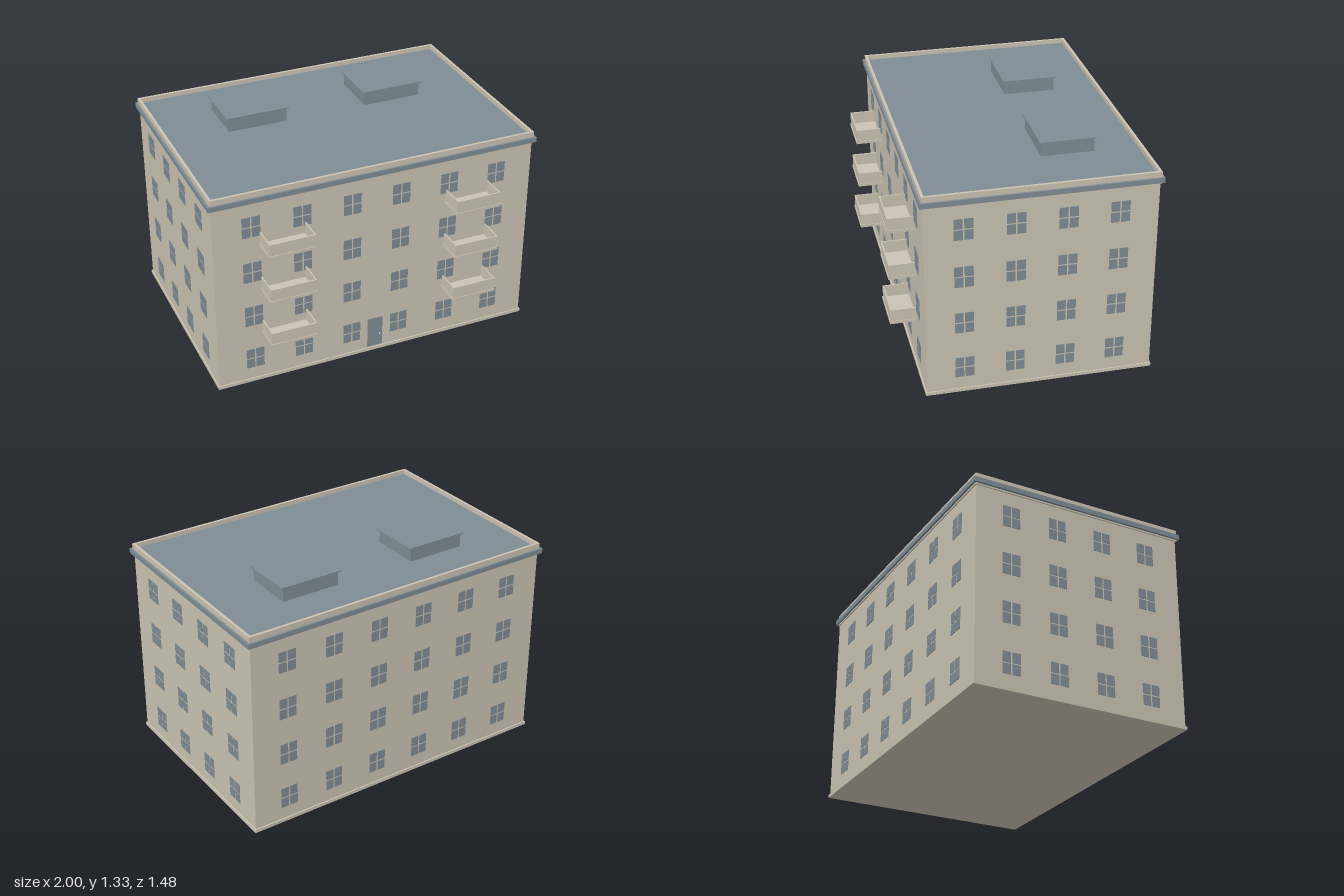
import * as THREE from 'three';

const wallMat = new THREE.MeshStandardMaterial({ color: 0xcbc3b3 });
wallMat.name = 'beige plaster';
const slateMat = new THREE.MeshStandardMaterial({ color: 0x7f8c94 });
slateMat.name = 'slate blue';
const metalMat = new THREE.MeshStandardMaterial({ color: 0xe2dfd6 });
metalMat.name = 'pale metal';

const HX = 0.98, HZ = 0.6525, CZ = -0.067; // body half sizes and centre depth
const STOREY = 0.294;

// Box given by its size, centre x/z and bottom height
function box(parent, name, mat, w, h, d, x, y, z) {
  const mesh = new THREE.Mesh(new THREE.BoxGeometry(w, h, d), mat);
  mesh.position.set(x, y + h / 2, z);
  mesh.name = name;
  parent.add(mesh);
  return mesh;
}

// Four panes separated by the wall-coloured cross bars, facing +z
function makeWindow() {
  const g = new THREE.Group();
  g.name = 'window';
  for (const sx of [-1, 1]) for (const y of [-0.064, 0.004]) {
    box(g, 'windowPane', slateMat, 0.049, 0.06, 0.004, sx * 0.029, y, 0);
  }
  return g;
}

// Grid of windows on one facade
function facade(name, columns, distance, angle) {
  const g = new THREE.Group();
  g.name = name;
  for (let floor = 0; floor < 4; floor++) for (const x of columns) {
    const w = makeWindow();
    w.position.set(x, 0.161 + floor * STOREY, distance + 0.001);
    g.add(w);
  }
  g.rotation.y = angle;
  g.position.z = CZ;
  return g;
}

// Slab with a parapet on its three open sides
function balcony(x, y) {
  const g = new THREE.Group();
  g.name = 'balcony';
  const back = CZ + HZ, t = 0.008;
  box(g, 'balconySlab', wallMat, 0.28, 0.017, 0.155, 0, 0, back + 0.0775);
  box(g, 'balconyFront', wallMat, 0.274, 0.072, t, 0, 0.017, back + 0.147);
  for (const s of [-1, 1]) {
    box(g, 'balconySide', wallMat, t, 0.072, 0.143, s * 0.133, 0.017, back + 0.0715);
  }
  g.position.set(x, y, 0);
  return g;
}

export function createModel() {
  const model = new THREE.Group();
  model.name = 'apartmentBuilding';

  // Body, plinth and cornice
  box(model, 'walls', wallMat, HX * 2, 1.2, HZ * 2, 0, 0, CZ);
  box(model, 'plinth', wallMat, 1.974, 0.02, 1.32, 0, 0, CZ);
  box(model, 'corniceMoulding', wallMat, 1.974, 0.01, 1.32, 0, 1.19, CZ);
  box(model, 'cornice', slateMat, 2, 0.03, 1.345, 0, 1.2, CZ);

  // Roof deck inside a low parapet
  box(model, 'roofDeck', slateMat, 1.95, 0.006, 1.3, 0, 1.229, CZ);
  for (const s of [-1, 1]) {
    box(model, 'parapetLong', wallMat, 1.974, 0.032, 0.016, 0, 1.23, CZ + s * 0.652);
    box(model, 'parapetShort', wallMat, 0.016, 0.032, 1.288, s * 0.979, 1.23, CZ);
  }

  // Roof hatches with overhanging lids
  for (const s of [-1, 1]) {
    box(model, 'roofHatch', slateMat, 0.358, 0.085, 0.306, s * 0.431, 1.232, -0.303);
    box(model, 'hatchLid', slateMat, 0.388, 0.008, 0.326, s * 0.431, 1.317, -0.303);
  }

  // Windows on all four sides
  const longColumns = [-0.755, -0.453, -0.151, 0.151, 0.453, 0.755];
  const shortColumns = [-0.435, -0.145, 0.145, 0.435];
  model.add(facade('frontWindows', longColumns, HZ, 0));
  model.add(facade('backWindows', longColumns, HZ, Math.PI));
  model.add(facade('leftWindows', shortColumns, HX, Math.PI / 2));
  model.add(facade('rightWindows', shortColumns, HX, -Math.PI / 2));

  // Entrance
  const front = CZ + HZ;
  box(model, 'door', slateMat, 0.095, 0.197, 0.006, -0.002, 0.028, front + 0.001);
  const knob = new THREE.Mesh(new THREE.SphereGeometry(0.005, 12, 8), metalMat);
  knob.name = 'doorKnob';
  knob.position.set(0.028, 0.107, front + 0.006);
  model.add(knob);

  // Balconies on the three upper floors
  for (const s of [-1, 1]) for (let floor = 0; floor < 3; floor++) {
    model.add(balcony(s * 0.569, 0.323 + floor * STOREY));
  }
  return model;
}
